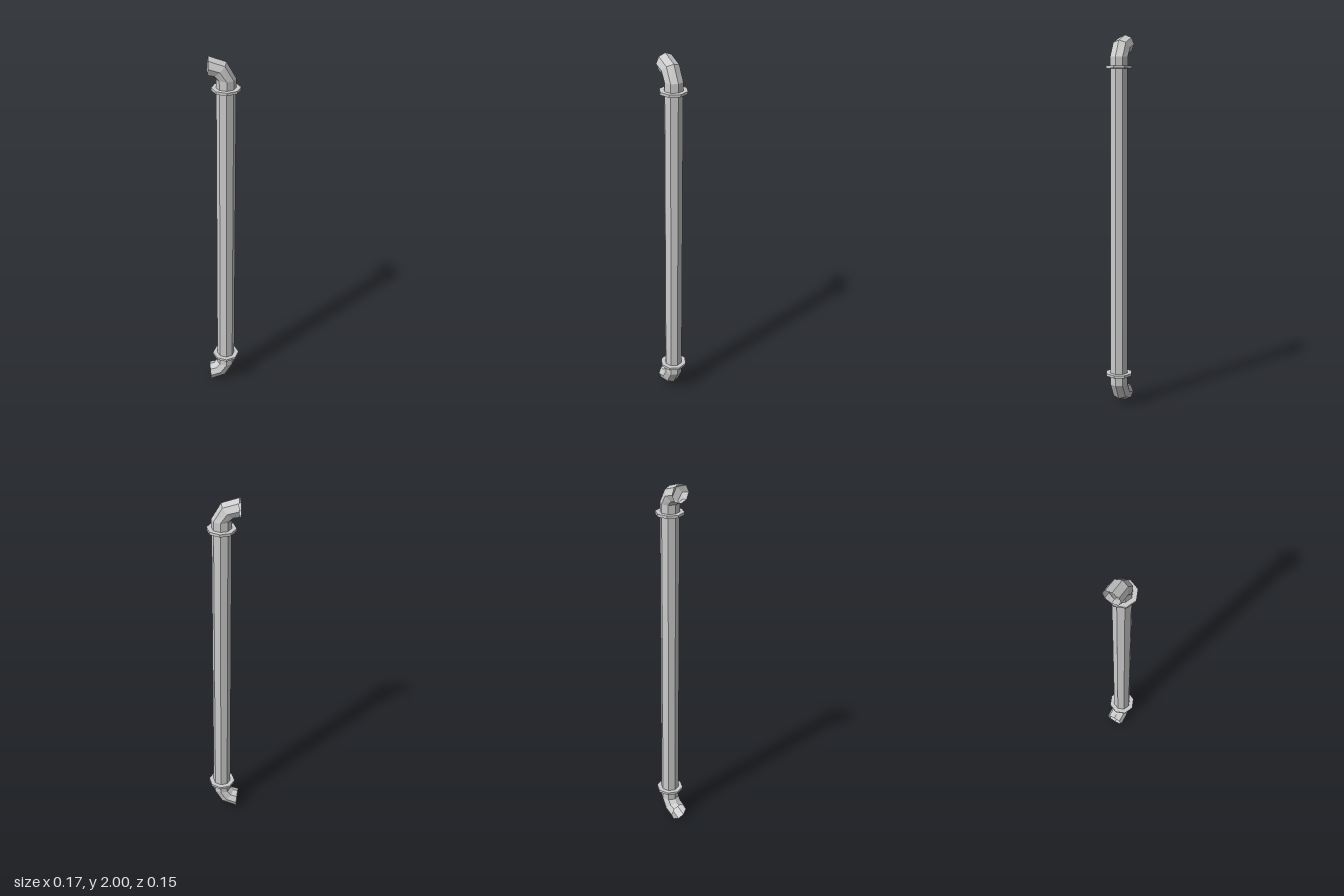
import * as THREE from 'three';

const SIDES = 8;
const AXIS_X = 0.009; // the vertical run sits slightly off centre
const material = new THREE.MeshStandardMaterial({
  color: 0xcccccc, flatShading: true, side: THREE.DoubleSide,
});

// Octagonal cylinder with a corner facing +x
function octagon(name, radius, y0, y1, open) {
  const geometry = new THREE.CylinderGeometry(radius, radius, y1 - y0, SIDES, 1, open);
  const mesh = new THREE.Mesh(geometry, material);
  mesh.name = name;
  mesh.position.set(AXIS_X, (y0 + y1) / 2, 0);
  return mesh;
}

// Open tube through rings [x, y, tilt in degrees, radius]
function loftTube(name, rings, flip) {
  const positions = [];
  const index = [];
  rings.forEach(([x, y, tilt, r], i) => {
    const t = THREE.MathUtils.degToRad(tilt);
    for (let j = 0; j < SIDES; j++) {
      const a = (j / SIDES) * Math.PI * 2;
      const out = r * Math.cos(a);
      positions.push(x + out * Math.cos(t), y + out * Math.sin(t), r * Math.sin(a));
      if (i === 0) continue;
      const k = (j + 1) % SIDES;
      const a0 = (i - 1) * SIDES + j, b0 = (i - 1) * SIDES + k;
      const a1 = i * SIDES + j, b1 = i * SIDES + k;
      if (flip) index.push(a0, b0, a1, b0, b1, a1);
      else index.push(a0, a1, b0, b0, a1, b1);
    }
  });
  const geometry = new THREE.BufferGeometry();
  geometry.setAttribute('position', new THREE.Float32BufferAttribute(positions, 3));
  geometry.setIndex(index);
  geometry.computeVertexNormals();
  const mesh = new THREE.Mesh(geometry, material);
  mesh.name = name;
  return mesh;
}

// Bend towards -x; dir is +1 for the upper end and -1 for the lower end
function elbow(name, flangeY, tipY, dir) {
  const r = 0.05;
  return loftTube(name, [
    [AXIS_X, flangeY, 0, r],
    [AXIS_X, tipY - dir * 0.118, 0, r],
    [-0.024, tipY - dir * 0.068, dir * 45, r],
    [-0.081, tipY - dir * 0.05, dir * 86, r],
  ], dir < 0);
}

export function createModel() {
  const group = new THREE.Group();
  group.name = 'pipe';
  const lowY = 0.176, highY = 1.829;

  // Long straight run
  group.add(octagon('straightPipe', 0.049, lowY, highY, true));

  // Flange and bend at each end
  for (const [label, y, tip, dir] of [['upper', highY, 2, 1], ['lower', lowY, 0, -1]]) {
    group.add(octagon(label + 'Flange', 0.074, y - 0.007, y + 0.007, false));
    group.add(elbow(label + 'Elbow', y, tip, dir));
  }
  return group;
}
